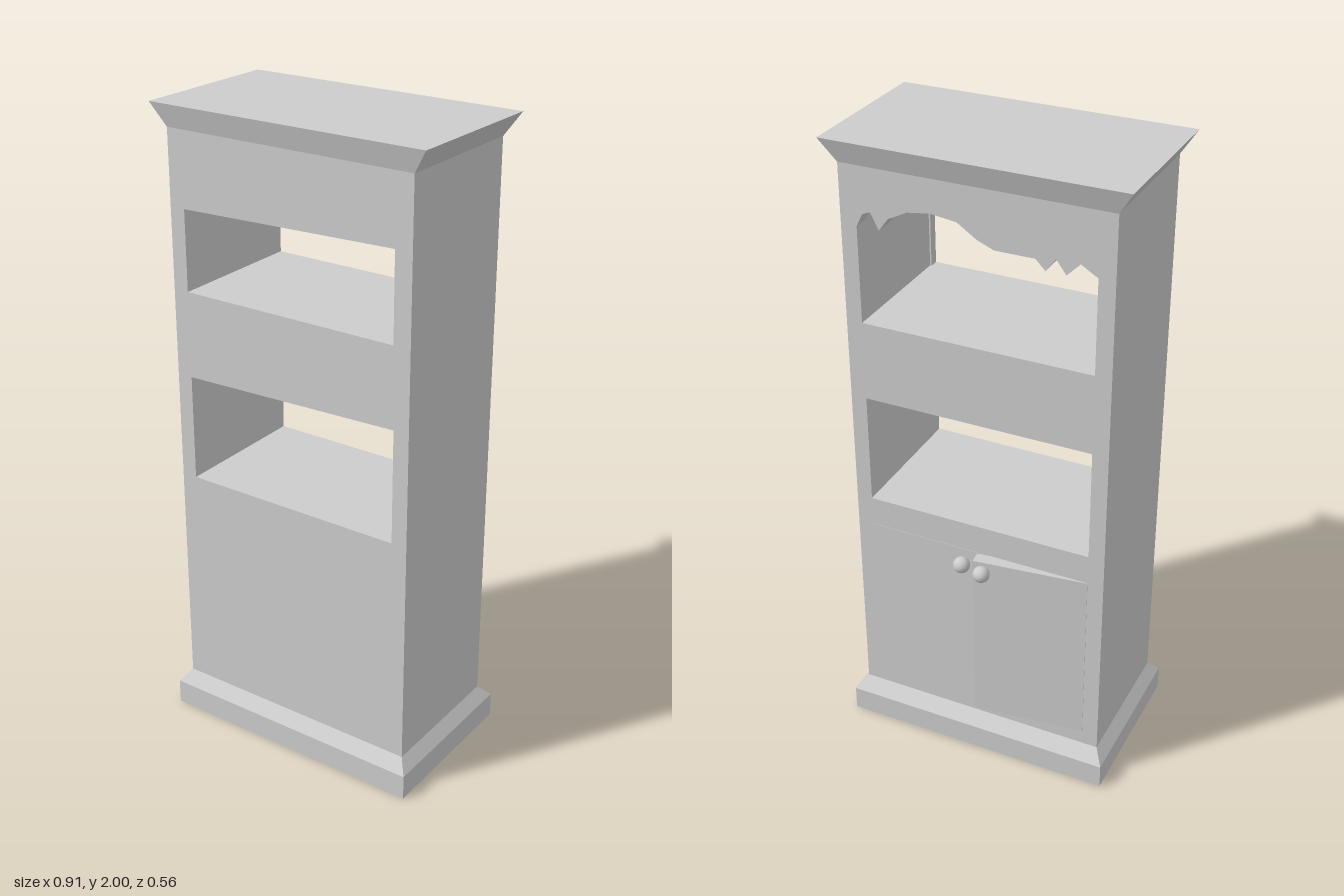
import * as THREE from 'three';

const material = new THREE.MeshStandardMaterial({ color: 0xcccccc });
const BACK = -0.205, FRONT = 0.245, HALF = 0.41, INNER = 0.36;

function add(parent, name, geometry, x = 0, y = 0, z = 0) {
  const mesh = new THREE.Mesh(geometry, material);
  mesh.name = name;
  mesh.position.set(x, y, z);
  parent.add(mesh);
  return mesh;
}

// Box given by its limits
function block(parent, name, [x0, x1], [y0, y1], [z0, z1]) {
  return add(parent, name, new THREE.BoxGeometry(x1 - x0, y1 - y0, z1 - z0),
    (x0 + x1) / 2, (y0 + y1) / 2, (z0 + z1) / 2);
}

// Four-sided moulding with different lower and upper outlines [halfWidth, zMin, zMax]
function moulding(parent, name, y0, y1, lower, upper) {
  const g = new THREE.BoxGeometry(1, 1, 1);
  const p = g.attributes.position;
  for (let i = 0; i < p.count; i++) {
    const [w, z0, z1] = p.getY(i) > 0 ? upper : lower;
    p.setXYZ(i, Math.sign(p.getX(i)) * w, p.getY(i) > 0 ? y1 : y0, p.getZ(i) > 0 ? z1 : z0);
  }
  g.computeVertexNormals();
  add(parent, name, g);
}

// Upright panel with cut-out openings
function panel(parent, name, holes, z, depth) {
  const toPoints = (list) => list.map(([x, y]) => new THREE.Vector2(x, y));
  const shape = new THREE.Shape(toPoints([[-HALF, 0.12], [HALF, 0.12], [HALF, 1.93], [-HALF, 1.93]]));
  for (const hole of holes) shape.holes.push(new THREE.Path(toPoints(hole)));
  add(parent, name, new THREE.ExtrudeGeometry(shape, { depth, bevelEnabled: false }), 0, 0, z);
}

export function createModel() {
  const model = new THREE.Group();
  model.name = 'cabinet';
  const body = [HALF, BACK, FRONT];
  const foot = [0.44, -0.245, 0.28];

  // Plinth and crown
  moulding(model, 'plinth', 0, 0.08, foot, foot);
  moulding(model, 'plinthSlope', 0.08, 0.12, foot, body);
  moulding(model, 'crown', 1.93, 2, body, [0.455, -0.23, 0.265]);

  // Plain panel with two slightly tapering openings
  panel(model, 'plainPanel', [
    [[-INNER, 1.45], [0.355, 1.45], [0.355, 1.72], [-INNER, 1.7]],
    [[-INNER, 0.845], [INNER, 0.845], [INNER, 1.2], [-INNER, 1.18]],
  ], FRONT - 0.03, 0.03);

  // Face frame with a carved valance over the upper niche
  const valance = [
    [INNER, 1.75], [0.34, 1.79], [0.315, 1.8], [0.29, 1.75], [0.26, 1.79], [0.2, 1.82],
    [0.13, 1.83], [0.05, 1.82], [-0.01, 1.78], [-0.06, 1.76], [-0.18, 1.76], [-0.21, 1.73],
    [-0.24, 1.77], [-0.27, 1.73], [-0.31, 1.77], [-INNER, 1.74],
  ];
  panel(model, 'faceFrame', [
    [[-INNER, 1.45], [INNER, 1.45], ...valance],
    [[-INNER, 0.845], [INNER, 0.845], [INNER, 1.2], [-INNER, 1.2]],
  ], BACK, 0.05);

  // Side walls
  const inside = [BACK + 0.05, FRONT - 0.03];
  block(model, 'leftSide', [INNER, HALF], [0.12, 1.93], inside);
  block(model, 'rightSide', [-HALF, -INNER], [0.12, 1.93], inside);

  // Niche floors and ceiling
  for (const [name, top] of [['lowerShelf', 0.845], ['upperShelf', 1.45], ['nicheCeiling', 1.93]]) {
    block(model, name, [-INNER, INNER], [top - 0.04, top], inside);
  }

  // Closed door, flush with the face frame
  block(model, 'closedDoor', [0.002, INNER], [0.17, 0.75], [BACK - 0.001, BACK + 0.03]);

  // Door standing slightly ajar, turned on its outer edge
  const hinge = new THREE.Group();
  hinge.name = 'openDoor';
  hinge.position.set(-INNER, 0, BACK - 0.002);
  hinge.rotation.y = Math.atan(0.12);
  block(hinge, 'openDoorPanel', [0, 0.357], [0.17, 0.75], [0, 0.04]);
  model.add(hinge);

  // Round knobs
  const knob = new THREE.SphereGeometry(0.026, 24, 16);
  add(model, 'openDoorKnob', knob, -0.037, 0.715, -0.257);
  add(model, 'closedDoorKnob', knob, 0.047, 0.7, -0.221);

  return model;
}
